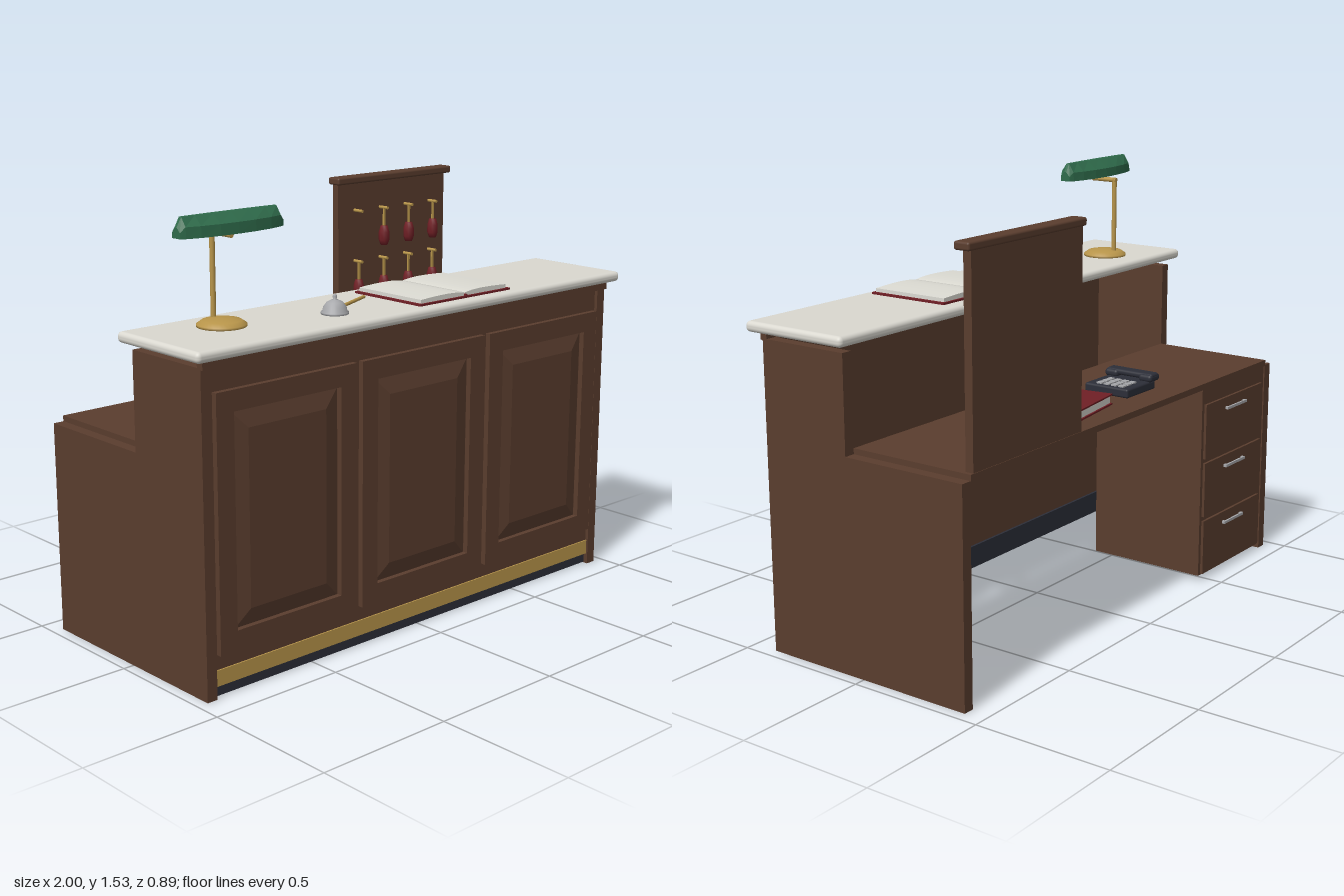
import * as THREE from 'three';
import { RoundedBoxGeometry } from 'three/addons/geometries/RoundedBoxGeometry.js';

const mat = (name, color, side = THREE.FrontSide, flatShading = false) => {
  const m = new THREE.MeshStandardMaterial({ color, side, flatShading });
  m.name = name;
  return m;
};

export function createModel() {
  const root = new THREE.Group();
  root.name = 'receptionDesk';
  const wood = mat('wood', 0x5a3d2e);
  const stone = mat('stone', 0xdad8d0);
  const brass = mat('brass', 0xb8954a);
  const dark = mat('darkPlastic', 0x2c2e38);
  const green = mat('greenGlass', 0x2f6b4b, THREE.DoubleSide, true);
  const red = mat('redLeather', 0x701f25);
  const paper = mat('paper', 0xdcdbd3);
  const steel = mat('steel', 0xa6a7aa);

  const add = (name, geo, m, x = 0, y = 0, z = 0, parent = root) => {
    const mesh = new THREE.Mesh(geo, m);
    mesh.name = name;
    mesh.position.set(x, y, z);
    parent.add(mesh);
    return mesh;
  };
  // Box given by its limits on each axis
  const box = (name, m, x0, x1, y0, y1, z0, z1, parent = root) =>
    add(name, new THREE.BoxGeometry(x1 - x0, y1 - y0, z1 - z0), m,
      (x0 + x1) / 2, (y0 + y1) / 2, (z0 + z1) / 2, parent);
  const group = (name, x = 0, y = 0, z = 0) => {
    const g = new THREE.Group();
    g.name = name;
    g.position.set(x, y, z);
    root.add(g);
    return g;
  };
  const rod = (name, m, r, a, b, parent = root) => {
    const p = new THREE.Vector3(...a), q = new THREE.Vector3(...b);
    const mesh = add(name, new THREE.CylinderGeometry(r, r, p.distanceTo(q), 12), m, 0, 0, 0, parent);
    mesh.position.copy(p).lerp(q, 0.5);
    mesh.quaternion.setFromUnitVectors(new THREE.Vector3(0, 1, 0), q.sub(p).normalize());
    return mesh;
  };
  const lathe = (pts, seg) => new THREE.LatheGeometry(pts.map(p => new THREE.Vector2(...p)), seg);

  // Stepped side panels
  const side = new THREE.Shape([[-0.402, 0], [0.425, 0], [0.425, 0.755], [-0.052, 0.755], [-0.052, 1.095], [-0.402, 1.095]]
    .map(p => new THREE.Vector2(...p)));
  for (const x of [-0.96, 0.92]) {
    const geo = new THREE.ExtrudeGeometry(side, { depth: 0.04, bevelEnabled: false }).rotateY(Math.PI / 2);
    add('sidePanel', geo, wood, x);
  }

  // Front board, trim and work surface
  box('frontBoard', wood, -0.92, 0.92, 0.09, 1.118, 0.36, 0.39);
  box('plinth', dark, -0.92, 0.92, 0.003, 0.09, 0.35, 0.385);
  box('kickStrip', brass, -0.92, 0.92, 0.04, 0.095, 0.385, 0.395);
  box('topMoulding', wood, -0.96, 0.96, 1.09, 1.12, 0.385, 0.412);
  box('deskTop', wood, -0.92, 0.92, 0.752, 0.775, -0.427, 0.052);
  add('counterTop', new RoundedBoxGeometry(2, 0.037, 0.42, 4, 0.016), stone, 0, 1.1375, 0.2325);

  // Three front panels: a frame around a raised bevelled field
  const frame = new THREE.Shape();
  const rect = (p, w, h) => p.moveTo(-w, -h).lineTo(w, -h).lineTo(w, h).lineTo(-w, h).closePath();
  rect(frame, 0.294, 0.432);
  frame.holes.push(rect(new THREE.Path(), 0.224, 0.362));
  for (const x of [-0.615, 0, 0.615]) {
    const g = group('frontPanel', x, 0.579, 0.388);
    add('panelFrame', new THREE.ExtrudeGeometry(frame, { depth: 0.022, bevelEnabled: false }), wood, 0, 0, 0, g);
    const field = new THREE.BoxGeometry(0.446, 0.722, 0.014).toNonIndexed();
    const p = field.attributes.position;
    for (let i = 0; i < p.count; i++) {
      if (p.getZ(i) > 0) p.setXY(i, p.getX(i) - Math.sign(p.getX(i)) * 0.06, p.getY(i) - Math.sign(p.getY(i)) * 0.06);
    }
    field.computeVertexNormals();
    add('raisedField', field, wood, 0, -0.003, 0.009, g);
  }

  // Drawer pedestal
  box('pedestal', wood, -0.92, -0.46, 0.02, 0.752, -0.42, 0.05);
  for (let i = 0; i < 3; i++) {
    const y = 0.585 - i * 0.2275;
    box('drawerFront', wood, -0.895, -0.475, y - 0.105, y + 0.105, -0.43, -0.418);
    box('drawerHandle', steel, -0.755, -0.612, y + 0.06, y + 0.07, -0.443, -0.436);
    for (const x of [-0.748, -0.619]) box('handlePost', steel, x - 0.006, x + 0.006, y + 0.06, y + 0.07, -0.438, -0.428);
  }

  // Key board with hooks and fobs
  box('keyBoard', wood, 0.33, 0.905, 0.775, 1.462, -0.425, -0.395);
  add('keyBoardCap', new RoundedBoxGeometry(0.612, 0.028, 0.06, 2, 0.008), wood, 0.616, 1.474, -0.4);
  const fob = lathe([[0, 0], [0.014, 0], [0.021, 0.02], [0.021, 0.05], [0.014, 0.075], [0, 0.075]], 8);
  for (let r = 0; r < 3; r++) for (let c = 0; c < 4; c++) {
    const g = group('keyHook', 0.415 + c * 0.135, 1.355 - r * 0.197, -0.37);
    rod('hook', brass, 0.006, [0, 0, -0.026], [0, 0, 0.02], g);
    if ((r === 0 && c === 0) || (r === 2 && c === 3)) continue;
    box('keyShank', brass, -0.005, 0.005, -0.075, 0, -0.003, 0.003, g);
    add('keyFob', fob, red, 0, -0.146, 0, g);
  }

  // Desk lamp
  const lamp = group('deskLamp', -0.705, 1.155, 0);
  add('lampBase', lathe([[0, 0], [0.082, 0], [0.082, 0.009], [0.065, 0.021], [0.03, 0.027], [0, 0.028]], 32), brass, 0, 0, 0.187, lamp);
  rod('lampPole', brass, 0.009, [0, 0.015, 0.145], [0, 0.306, 0.145], lamp);
  rod('lampArm', brass, 0.009, [0, 0.3, 0.137], [0, 0.3, 0.245], lamp);
  // Shade: cross-sections along x, open below
  const stations = [-0.207, -0.19, -0.14, -0.07, 0, 0.07, 0.14, 0.19, 0.207];
  const section = [[-1, 0], [-0.95, 0.5], [-0.2, 1], [0.2, 1], [0.95, 0.55], [1, 0]];
  const pos = [], idx = [], n = section.length;
  stations.forEach((x, i) => {
    const end = i === 0 || i === stations.length - 1;
    const w = 0.053 * Math.sqrt(1 - (x / 0.225) ** 2);
    for (const [z, y] of section) pos.push(x, y * (end ? 0.035 : 0.066), z * w);
    if (i) for (let j = 0; j < n - 1; j++) {
      const a = (i - 1) * n + j, b = i * n + j;
      idx.push(a, a + 1, b, b, a + 1, b + 1);
    }
  });
  const last = (stations.length - 1) * n;
  for (let j = 1; j < n - 1; j++) idx.push(0, j + 1, j, last, last + j, last + j + 1);
  const shade = new THREE.BufferGeometry();
  shade.setAttribute('position', new THREE.Float32BufferAttribute(pos, 3));
  shade.setIndex(idx);
  shade.computeVertexNormals();
  add('lampShade', shade, green, 0, 0.31, 0.233, lamp);

  // Service bell and pen
  add('bell', lathe([[0, 0], [0.047, 0], [0.047, 0.008], [0.042, 0.01], [0.039, 0.025], [0.028, 0.04], [0.012, 0.048],
    [0.006, 0.05], [0.008, 0.06], [0.005, 0.066], [0, 0.067]], 24), steel, -0.31, 1.155, 0.29);
  rod('pen', brass, 0.006, [-0.21, 1.162, 0.23], [-0.063, 1.162, 0.167]);

  // Open register
  box('registerCover', red, -0.022, 0.427, 1.155, 1.163, 0.078, 0.402);
  const leaf = new THREE.Shape();
  leaf.moveTo(0.003, 0).lineTo(0.212, 0).lineTo(0.212, 0.014)
    .quadraticCurveTo(0.06, 0.024, 0.003, 0.012).closePath();
  for (const s of [-1, 1]) {
    const geo = new THREE.ExtrudeGeometry(leaf, { depth: 0.306, bevelEnabled: false, curveSegments: 8 });
    if (s < 0) geo.rotateY(Math.PI).translate(0, 0, 0.306);
    add('registerPages', geo, paper, 0.2025, 1.162, 0.087);
  }
  box('registerRibbon', red, 0.2, 0.205, 1.163, 1.17, 0.085, 0.405);

  // Closed ledger
  const ledger = group('ledger', 0.153, 0.775, -0.227);
  ledger.rotation.y = 0.14;
  box('backCover', red, -0.153, 0.153, 0, 0.006, -0.113, 0.113, ledger);
  box('frontCover', red, -0.153, 0.153, 0.034, 0.04, -0.113, 0.113, ledger);
  box('spine', red, 0.145, 0.153, 0.006, 0.034, -0.113, 0.113, ledger);
  box('ledgerPages', paper, -0.146, 0.145, 0.006, 0.034, -0.106, 0.106, ledger);

  // Telephone
  const phone = group('telephone', 0, 0.775, 0);
  add('phoneBody', new RoundedBoxGeometry(0.185, 0.034, 0.185, 2, 0.008), dark, -0.2, 0.017, -0.227, phone);
  add('handset', new RoundedBoxGeometry(0.05, 0.022, 0.2, 3, 0.01), dark, -0.278, 0.05, -0.227, phone);
  for (const z of [-0.3, -0.154]) add('handsetEnd', new RoundedBoxGeometry(0.064, 0.028, 0.056, 3, 0.012), dark, -0.278, 0.044, z, phone);
  for (let r = 0; r < 4; r++) for (let c = 0; c < 3; c++) {
    const x = -0.198 + c * 0.032, z = -0.28 + r * 0.031;
    box('phoneButton', steel, x - 0.012, x + 0.012, 0.032, 0.039, z - 0.011, z + 0.011, phone);
  }
  return root;
}
